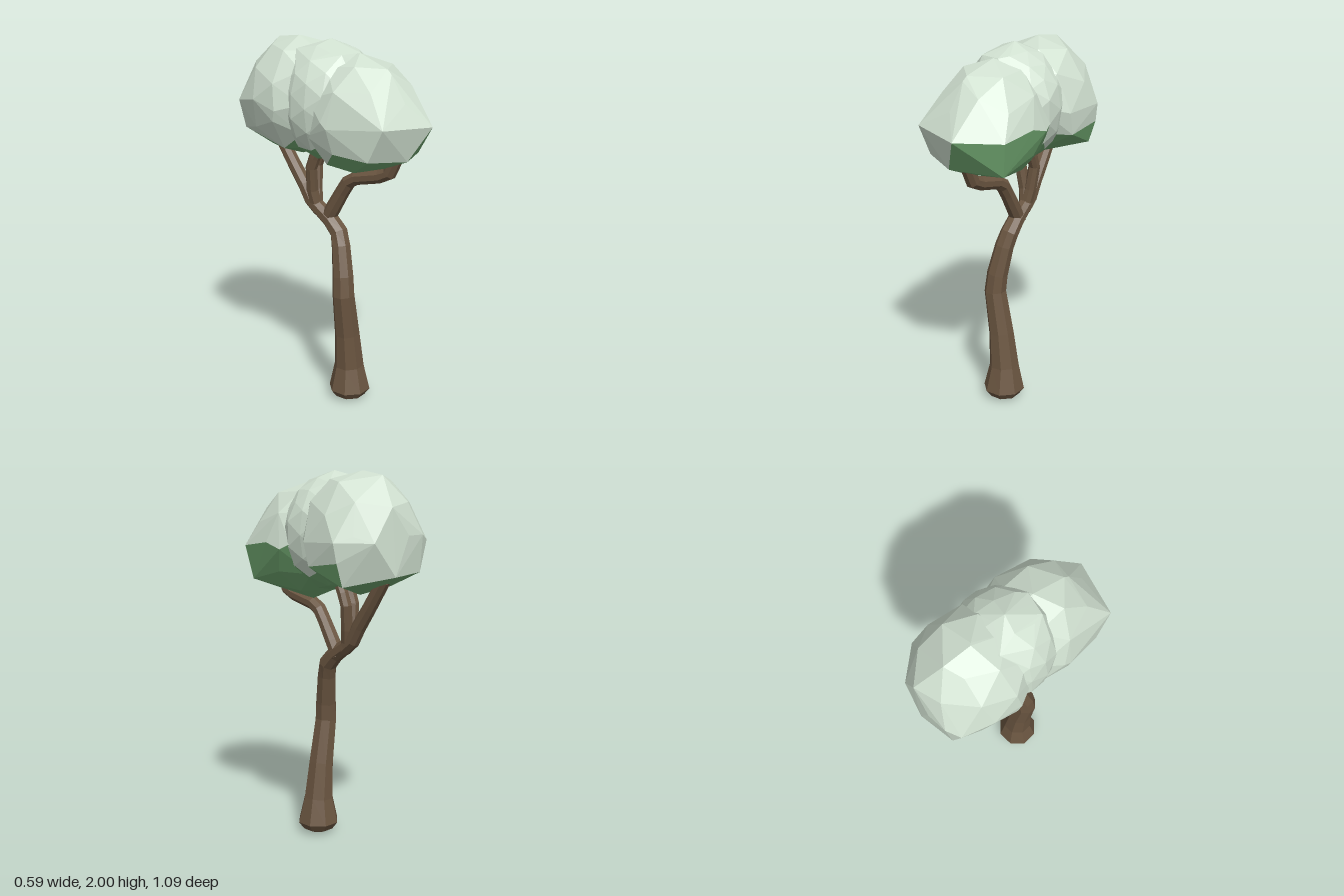
import * as THREE from 'three';
import { ConvexGeometry } from 'three/addons/geometries/ConvexGeometry.js';

const mat = (name, color) => {
  const m = new THREE.MeshStandardMaterial({ color, flatShading: true });
  m.name = name;
  return m;
};

// Sweeps a polygon along rows of [x, y, z, radius], with closed ends.
function limb(name, rows, sides, material) {
  const pts = rows.map(r => new THREE.Vector3(r[0], r[1], r[2]));
  const pos = [], idx = [];
  const last = rows.length - 1;
  rows.forEach((row, i) => {
    const t = pts[Math.min(i + 1, last)].clone().sub(pts[Math.max(i - 1, 0)]).normalize();
    if (row[1] < 0.1) t.set(0, 1, 0);
    const u = new THREE.Vector3(1, 0, 0).addScaledVector(t, -t.x).normalize();
    const v = t.clone().cross(u);
    for (let k = 0; k < sides; k++) {
      const a = (k + 0.5) / sides * Math.PI * 2;
      const p = pts[i].clone().addScaledVector(u, Math.cos(a) * row[3]).addScaledVector(v, Math.sin(a) * row[3]);
      pos.push(p.x, p.y, p.z);
      if (i < last) {
        const b = i * sides + k, c = i * sides + (k + 1) % sides;
        idx.push(b, c, b + sides, c, c + sides, b + sides);
      }
    }
  });
  for (let k = 1; k < sides - 1; k++) {
    idx.push(0, k + 1, k);
    idx.push(last * sides, last * sides + k, last * sides + k + 1);
  }
  const g = new THREE.BufferGeometry();
  g.setAttribute('position', new THREE.Float32BufferAttribute(pos, 3));
  g.setIndex(idx);
  g.computeVertexNormals();
  const mesh = new THREE.Mesh(g, material);
  mesh.name = name;
  return mesh;
}

// Faceted clump: a hull of a jittered ellipsoid and a few corners; low faces are leaves, the rest snow.
// A positive tilt lets the snow hang lower on the model's right.
function clump(name, { center: c, radii: r, detail, corners, seed, snowLine, tilt }, snow, leaf) {
  const p = new THREE.IcosahedronGeometry(1, detail).attributes.position;
  const seen = new Map();
  for (let i = 0; i < p.count; i++) {
    const v = new THREE.Vector3().fromBufferAttribute(p, i);
    const key = v.toArray().map(n => Math.round(n * 100)).join();
    if (seen.has(key)) continue;
    const s = 0.98 + 0.02 * Math.sin(seed + seen.size * 12.9);
    v.applyAxisAngle(new THREE.Vector3(0, 1, 0), seed);
    seen.set(key, v.set(c[0] + v.x * r[0] * s, c[1] + v.y * r[1] * s, c[2] + v.z * r[2] * s));
  }
  const hull = new ConvexGeometry([...seen.values(), ...corners.map(q => new THREE.Vector3(...q))]);
  const h = hull.attributes.position;
  const faces = { snow: [], leaf: [] };
  for (let i = 0; i < h.count; i += 3) {
    const mx = (h.getX(i) + h.getX(i + 1) + h.getX(i + 2)) / 3;
    const my = (h.getY(i) + h.getY(i + 1) + h.getY(i + 2)) / 3;
    const list = my < snowLine + mx * tilt ? faces.leaf : faces.snow;
    for (let j = i; j < i + 3; j++) list.push(h.getX(j), h.getY(j), h.getZ(j));
  }
  const group = new THREE.Group();
  group.name = name;
  for (const [kind, material] of [['snow', snow], ['leaf', leaf]]) {
    const g = new THREE.BufferGeometry();
    g.setAttribute('position', new THREE.Float32BufferAttribute(faces[kind], 3));
    g.computeVertexNormals();
    const mesh = new THREE.Mesh(g, material);
    mesh.name = name + (kind === 'snow' ? 'Snow' : 'Leaves');
    group.add(mesh);
  }
  return group;
}

export function createModel() {
  const bark = mat('bark', 0x6b5641);
  const snow = mat('snow', 0xd0e0d0);
  const leaf = mat('leaf green', 0x6fa56f);
  const tree = new THREE.Group();
  tree.name = 'tree';

  // Leaning trunk with a flared foot
  tree.add(limb('trunk', [
    [-0.01, 0, 0.075, 0.04], [-0.01, 0.02, 0.075, 0.085], [-0.01, 0.06, 0.075, 0.115],
    [-0.01, 0.2, 0.072, 0.083], [-0.03, 0.4, 0.072, 0.07], [-0.068, 0.64, 0.074, 0.061],
    [-0.06, 0.74, 0.065, 0.058], [-0.035, 0.9, 0.033, 0.052], [-0.02, 0.97, 0.008, 0.05],
    [-0.018, 1.03, -0.05, 0.046], [-0.018, 1.07, -0.11, 0.042], [-0.018, 1.11, -0.165, 0.038],
  ], 8, bark));

  // Branches
  tree.add(limb('frontBranch', [
    [-0.018, 1.02, -0.075, 0.042], [-0.018, 1.1, -0.03, 0.042], [-0.018, 1.2, 0.03, 0.039],
    [-0.018, 1.26, 0.07, 0.039], [-0.018, 1.29, 0.12, 0.037], [-0.018, 1.325, 0.27, 0.037],
    [-0.018, 1.35, 0.325, 0.038], [-0.018, 1.44, 0.37, 0.036],
  ], 8, bark));
  tree.add(limb('backBranch', [
    [-0.018, 1.07, -0.12, 0.04], [-0.018, 1.12, -0.18, 0.04],
    [-0.018, 1.2, -0.225, 0.04], [-0.018, 1.3, -0.295, 0.038], [-0.018, 1.46, -0.4, 0.036],
  ], 8, bark));
  for (const [side, x, z] of [['left', 0.02, -0.01], ['right', -0.056, 0.01]]) {
    tree.add(limb(side + 'MiddleBranch', [
      [-0.018, 1.08, -0.14, 0.034], [x * 0.5 - 0.008, 1.18, -0.158, 0.033],
      [x, 1.31, -0.158 + z, 0.032], [x, 1.37, -0.135 + z, 0.032], [x, 1.46, -0.09 + z, 0.03],
    ], 8, bark));
  }

  // Crown of three deeply overlapping clumps
  tree.add(clump('frontClump', {
    center: [-0.02, 1.63, 0.14], radii: [0.285, 0.315, 0.32], detail: 1, seed: 0.4, snowLine: 1.52, tilt: 0.3,
    corners: [
      [0.03, 1.61, 0.545], [-0.26, 1.63, 0.445], [-0.26, 1.46, 0.36], [0.23, 1.6, 0.39],
      [0.2, 1.42, 0.36], [-0.06, 1.44, 0.46], [-0.05, 1.86, 0.35], [0, 1.93, 0.14], [0, 1.32, 0.1],
      [0.26, 1.6, 0.08], [-0.295, 1.6, 0.13],
    ],
  }, snow, leaf));
  tree.add(clump('middleClump', {
    center: [-0.015, 1.68, -0.04], radii: [0.275, 0.315, 0.27], detail: 2, seed: 1.3, snowLine: 1.48, tilt: 0.1,
    corners: [[-0.02, 2, -0.04], [-0.13, 1.95, -0.18], [-0.12, 1.94, 0.1], [0, 1.94, 0.13]],
  }, snow, leaf));
  tree.add(clump('backClump', {
    center: [-0.01, 1.69, -0.24], radii: [0.295, 0.32, 0.31], detail: 1, seed: 2.2, snowLine: 1.5, tilt: 0.1,
    corners: [
      [0.295, 1.66, -0.35], [-0.02, 2, -0.25], [0, 1.98, -0.4], [-0.14, 1.69, -0.545],
      [0.07, 1.83, -0.53], [0.17, 1.66, -0.51], [-0.21, 1.66, -0.51], [0.05, 1.49, -0.54],
      [-0.15, 1.5, -0.52], [0.24, 1.44, -0.36], [-0.295, 1.65, -0.2], [0.275, 1.65, -0.12],
      [0.28, 1.56, -0.36], [0.27, 1.53, -0.15],
    ],
  }, snow, leaf));
  return tree;
}
